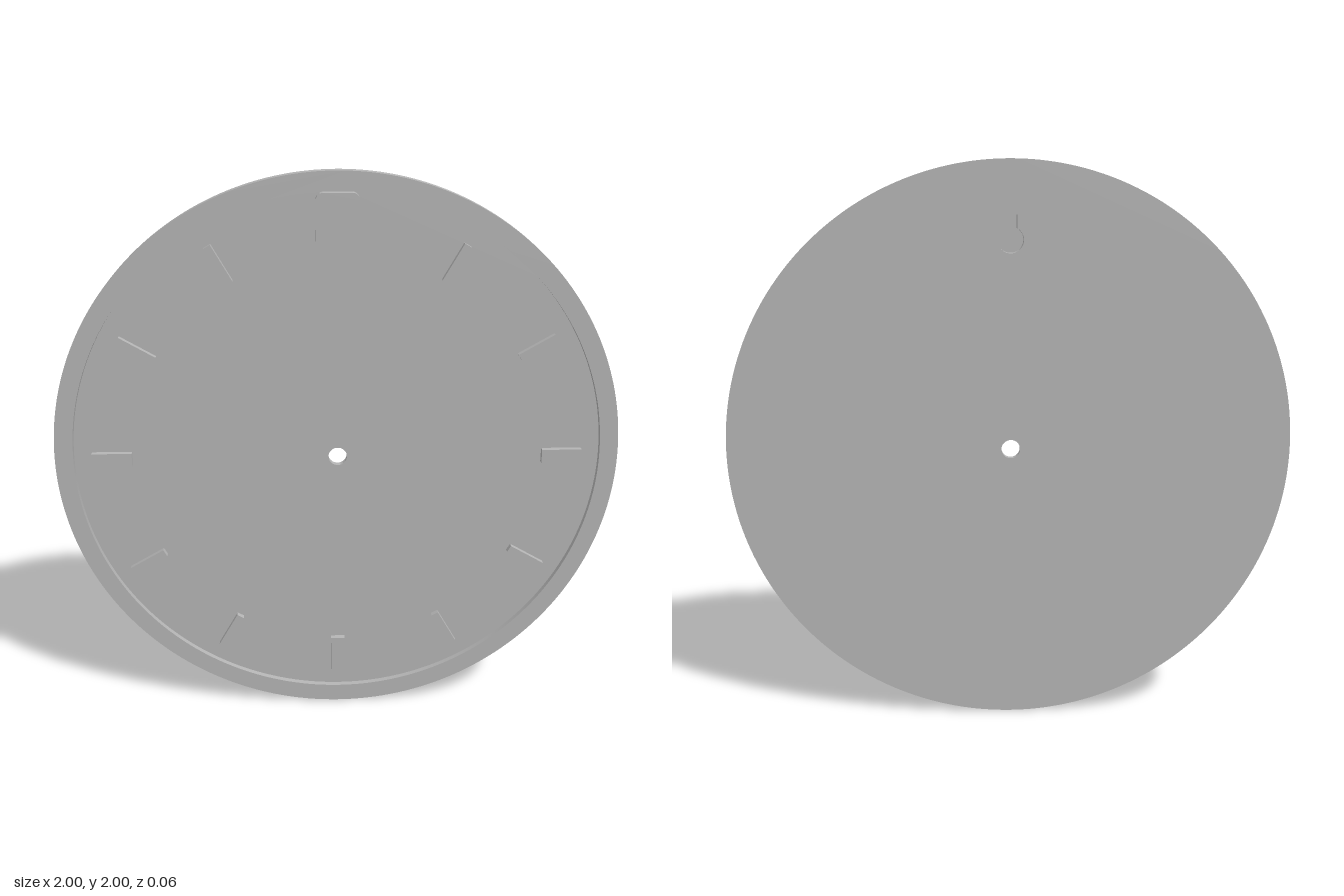
import * as THREE from 'three';
import { toCreasedNormals } from 'three/addons/utils/BufferGeometryUtils.js';

// Depths along z
const BACK = -0.028, FLOOR = -0.003, RIM = 0.018, PLATE = 0.028;
const SEG = 128;

function circle(r, Type = THREE.Shape) {
  const s = new Type();
  s.absarc(0, 0, r, 0, Math.PI * 2, false);
  return s;
}

// Keyhole outline: round entry with a narrow slot above
function keyhole(Type) {
  const s = new Type(), r = 0.045, w = 0.022, cy = 0.73, a = Math.acos(w / r);
  s.moveTo(w, 0.815);
  s.lineTo(-w, 0.815);
  s.absarc(0, cy, r, Math.PI - a, Math.PI * 2 + a, false);
  s.closePath();
  return s;
}

function roundedRect(x, y0, y1, r) {
  const s = new THREE.Shape();
  s.moveTo(x, y0 + r);
  s.absarc(x - r, y1 - r, r, 0, Math.PI / 2, false);
  s.absarc(-x + r, y1 - r, r, Math.PI / 2, Math.PI, false);
  s.absarc(-x + r, y0 + r, r, Math.PI, Math.PI * 1.5, false);
  s.absarc(x - r, y0 + r, r, Math.PI * 1.5, Math.PI * 2, false);
  return s;
}

// Straight wall along a closed outline, facing out or (for openings) in
function wall(outline, z0, z1, inward = false, seg = SEG) {
  const p = outline.getPoints(seg), pos = [];
  for (let i = 0; i < p.length; i++) {
    let a = p[i], b = p[(i + 1) % p.length];
    if (a.distanceTo(b) < 1e-6) continue;
    if (inward) [a, b] = [b, a];
    pos.push(a.x, a.y, z0, b.x, b.y, z0, b.x, b.y, z1, a.x, a.y, z0, b.x, b.y, z1, a.x, a.y, z1);
  }
  const g = new THREE.BufferGeometry();
  g.setAttribute('position', new THREE.Float32BufferAttribute(pos, 3));
  return toCreasedNormals(g, 0.6);
}

// Flat face at depth z; backwards faces look to -z (outlines are symmetric in x)
function face(shape, z, holes = [], backwards = false) {
  shape.holes.push(...holes);
  const g = new THREE.ShapeGeometry(shape, SEG);
  if (backwards) g.rotateY(Math.PI);
  return g.translate(0, 0, z);
}

export function createModel() {
  const model = new THREE.Group();
  const grey = new THREE.MeshStandardMaterial({ color: 0xb4b4b4, side: THREE.DoubleSide });
  grey.name = 'grey';
  const dial = new THREE.Group();
  dial.name = 'clockDial';
  dial.position.y = 1;
  model.add(dial);
  const add = (name, geometry) => {
    const m = new THREE.Mesh(geometry, grey);
    m.name = name;
    dial.add(m);
    return m;
  };

  // Disc with raised rim
  add('backFace', face(circle(1), BACK, [circle(0.033, THREE.Path), keyhole(THREE.Path)], true));
  add('dialFace', face(circle(0.935), FLOOR, [circle(0.033, THREE.Path), keyhole(THREE.Path)]));
  add('rimFace', face(circle(1), RIM, [circle(0.935, THREE.Path)]));
  add('outerWall', wall(circle(1), BACK, RIM));
  add('rimInnerWall', wall(circle(0.935), FLOOR, RIM, true));
  add('shaftHole', wall(circle(0.033), BACK, FLOOR, true));

  // Hanging pocket at the back and the plate that covers it in front
  add('keyholeWall', wall(keyhole(THREE.Shape), BACK, RIM, true, 32));
  add('keyholeFloor', face(keyhole(THREE.Shape), RIM, [], true));
  const plate = () => roundedRect(0.073, 0.67, 0.93, 0.025);
  add('twelvePlateFace', face(plate(), PLATE));
  add('twelvePlateWall', wall(plate(), FLOOR, PLATE, false, 12));

  // Hour markers: wide at the quarters, narrow between
  for (let h = 1; h < 12; h++) {
    const a = h * Math.PI / 6;
    const marker = add('hourMarker' + h, new THREE.BoxGeometry(h % 3 ? 0.027 : 0.05, 0.142, RIM - FLOOR));
    marker.position.set(Math.sin(a) * 0.8, Math.cos(a) * 0.8, (RIM + FLOOR) / 2);
    marker.rotation.z = -a;
  }
  return model;
}
